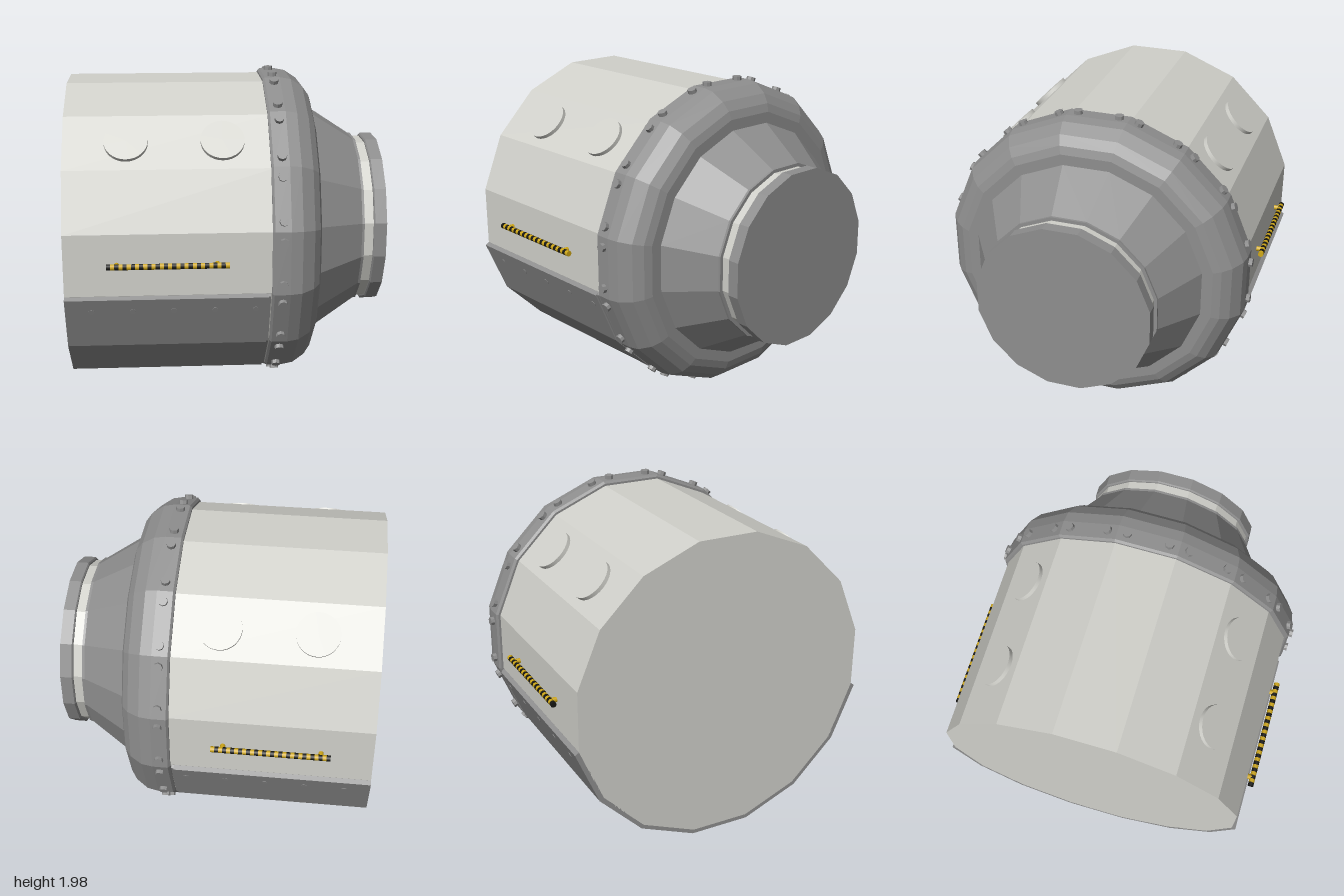
import * as THREE from 'three';

const mat = (name, color) => {
  const m = new THREE.MeshStandardMaterial({ color });
  m.name = name;
  return m;
};

export function createModel() {
  const hullPaint = mat('pale hull', 0xd0d0ca);
  const steel = mat('grey steel', 0x8e8e8e);
  const yellow = mat('handle yellow', 0xd0a818);
  const black = mat('handle black', 0x151512);

  const SIDES = 16;
  const HALF = Math.PI / SIDES;
  const model = new THREE.Group();
  model.name = 'capsule';
  const axis = new THREE.Group(); // everything is arranged around the x axis
  axis.name = 'capsuleAssembly';
  axis.position.y = 0.995;
  model.add(axis);

  const add = (parent, name, geometry, material) => {
    const mesh = new THREE.Mesh(geometry, material);
    mesh.name = name;
    parent.add(mesh);
    return mesh;
  };
  const flat = (geometry) => {
    const g = geometry.index ? geometry.toNonIndexed() : geometry;
    g.computeVertexNormals();
    return g;
  };
  // Faceted 16-sided turned part; profile rows are [x, distance to flat]
  const turned = (name, profile, material) => {
    const pts = profile.map(([x, a]) => new THREE.Vector2(a / Math.cos(HALF), x));
    const g = new THREE.LatheGeometry(pts, SIDES, HALF);
    g.rotateZ(-Math.PI / 2);
    return add(axis, name, flat(g), material);
  };
  // Short cylinder standing on a facet facing angle a (0 = front, 90 = up)
  const stud = (name, x, a, dist, shift, radius, height, sides, material) => {
    const g = new THREE.CylinderGeometry(radius, radius, height, sides);
    const mesh = add(axis, name, sides < 12 ? flat(g) : g, material);
    const r = dist + height / 2;
    mesh.position.set(x, r * Math.sin(a) + shift * Math.cos(a), r * Math.cos(a) - shift * Math.sin(a));
    mesh.rotation.x = Math.PI / 2 - a;
    return mesh;
  };

  // Main hull, collar, cone and docking neck
  turned('hull', [[-0.985, 0], [-0.985, 0.942], [0.25, 0.942]], hullPaint);
  turned('collar', [
    [0.232, 0.93], [0.232, 0.955], [0.245, 0.968], [0.34, 0.968], [0.41, 0.955],
    [0.485, 0.905], [0.525, 0.85], [0.54, 0.8], [0.54, 0.72],
  ], steel);
  turned('cone', [[0.54, 0.733], [0.83, 0.546], [0.845, 0.546], [0.845, 0.5]], steel);
  turned('neckGroove', [[0.84, 0.525], [0.91, 0.525]], hullPaint);
  turned('neckFlange', [[0.905, 0.5], [0.905, 0.535], [0.912, 0.544], [0.985, 0.544], [0.985, 0]], steel);

  // Lower skirt: half-ring shell, stepped in slightly next to the collar
  const skirt = new THREE.Group();
  skirt.name = 'lowerSkirt';
  axis.add(skirt);
  for (const [radius, x0, x1] of [[0.986, -0.985, 0.21], [0.977, 0.21, 0.225]]) {
    const pts = [];
    for (const inner of [false, true]) {
      for (let k = 0; k <= 7; k++) {
        let a = -HALF * (1 + 2 * (inner ? 7 - k : k));
        const r = inner ? 0.955 : radius;
        pts.push(new THREE.Vector2(r * Math.cos(a), r * Math.sin(a) - (!inner && k % 7 === 0 ? 0.012 : 0)));
      }
    }
    const g = new THREE.ExtrudeGeometry(new THREE.Shape(pts), { depth: x1 - x0, bevelEnabled: false });
    g.rotateY(Math.PI / 2);
    g.translate(x0, 0, 0);
    add(skirt, 'skirtShell', flat(g), steel);
  }

  // Two rivets on every collar facet
  for (let k = 0; k < SIDES; k++) {
    for (const s of [-1, 1]) {
      stud('collarRivet', 0.297, k * 2 * HALF, 0.963, s * 0.13, 0.028, 0.029, 8, steel);
    }
  }

  for (const side of [1, -1]) {
    const facing = (deg) => {
      const a = THREE.MathUtils.degToRad(deg);
      return side > 0 ? a : Math.PI - a;
    };
    // Round hatches on the upper facets
    for (const x of [-0.613, -0.045]) {
      stud('roundHatch', x, facing(45), 0.937, 0, 0.13, 0.03, 32, hullPaint);
    }
    // Small fasteners along the skirt edge
    for (let i = 0; i < 5; i++) {
      stud('skirtFastener', -0.83 + i * 0.242, facing(-22.5), 0.962, side * 0.09, 0.018, 0.011, 12, steel);
    }

    // Striped grab handle with two posts
    const handle = new THREE.Group();
    handle.name = 'grabHandle';
    axis.add(handle);
    const start = -0.733, count = 30, step = 0.712 / count;
    for (let i = 0; i < count; i++) {
      const g = new THREE.CylinderGeometry(0.018, 0.018, step, 8);
      g.rotateZ(Math.PI / 2);
      const band = add(handle, 'handleBand', g, i % 2 ? yellow : black);
      band.position.set(start + (i + 0.5) * step, 0.004, side * 0.982);
    }
    for (const x of [-0.675, -0.09]) {
      const g = new THREE.CylinderGeometry(0.016, 0.016, 0.045, 8);
      g.rotateX(Math.PI / 2);
      add(handle, 'handlePost', g, yellow).position.set(x, 0.004, side * 0.957);
    }
  }
  return model;
}
